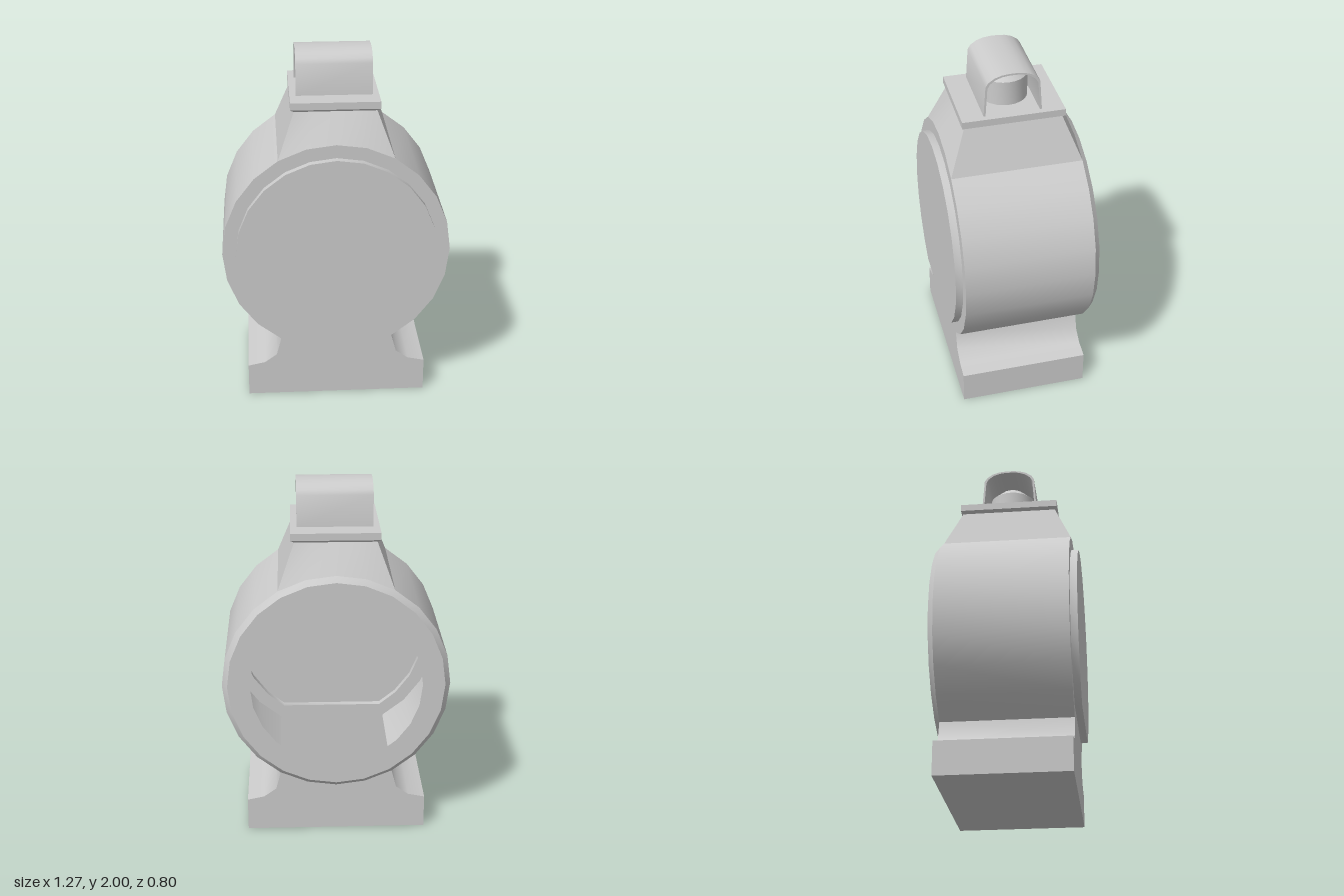
import * as THREE from 'three';
import { toCreasedNormals } from 'three/addons/utils/BufferGeometryUtils.js';

const CY = 0.915, R = 0.635, FRONT = 0.36, BACK = -0.37, MID = -0.005;
const material = new THREE.MeshStandardMaterial({ color: 0xcccccc, side: THREE.DoubleSide });

// Points on a circle around the drum axis, in 15 degree steps
function arc(radius, from, to) {
  const n = Math.round(Math.abs(to - from) / 15);
  return Array.from({ length: n + 1 }, (_, i) => {
    const a = THREE.MathUtils.degToRad(from + ((to - from) * i) / n);
    return [radius * Math.cos(a), CY + radius * Math.sin(a)];
  });
}

const atZ = (points, z) => points.map(([x, y]) => [x, y, z]);
const mirror = (points) => points.map(([x, y]) => [-x, y]).reverse();
const shapeOf = (points) => new THREE.Shape(points.map(([x, y]) => new THREE.Vector2(x, y)));

// Surface between two rows of matching points
function loft(a, b, closed = false) {
  const pos = [];
  const n = a.length;
  for (let i = 0; i < (closed ? n : n - 1); i++) {
    const j = (i + 1) % n;
    pos.push(...a[i], ...a[j], ...b[j], ...a[i], ...b[j], ...b[i]);
  }
  const geo = new THREE.BufferGeometry();
  geo.setAttribute('position', new THREE.Float32BufferAttribute(pos, 3));
  return toCreasedNormals(geo, 0.72);
}

export function createModel() {
  const model = new THREE.Group();
  const add = (name, geometry) => {
    const mesh = new THREE.Mesh(geometry, material);
    mesh.name = name;
    model.add(mesh);
    return mesh;
  };

  // Outline: drum side, flared neck and foot, mirrored back up to the drum top
  const foot = [[0.345, 0.26], [0.415, 0.21], [0.51, 0.19], [0.51, 0]];
  const rightSide = [...arc(R, 60, -60), ...foot];
  const outline = [...rightSide, ...mirror(rightSide)];
  add('bodyWall', loft(atZ(outline, FRONT), atZ(outline, BACK)));

  // Front cover, round below with a flat edge
  const cover = [[0.297, 0.44], ...arc(0.56, -45, 225), [-0.297, 0.44]];
  const frontShape = shapeOf([...outline, ...arc(R, 105, 75)]);
  frontShape.holes.push(shapeOf(cover));
  add('frontPlate', new THREE.ShapeGeometry(frontShape).translate(0, 0, FRONT));
  add('coverRim', loft(atZ(cover, FRONT), atZ(cover, 0.4), true));
  add('coverFace', new THREE.ShapeGeometry(shapeOf(cover)).translate(0, 0, 0.4));

  // Back of the foot, below the drum
  const footBack = shapeOf([...arc(R, 240, 300), ...foot, ...mirror(foot)]);
  add('footBack', new THREE.ShapeGeometry(footBack).rotateY(Math.PI).translate(0, 0, BACK));

  // Chamfered rim around the open back
  const ring = (r, z) => atZ(arc(r, 360, 15), z);
  add('backRimChamfer', loft(ring(R, BACK), ring(0.605, -0.4), true));
  add('backRimFace', loft(ring(0.605, -0.4), ring(0.48, -0.4), true));

  // Tapered neck from the drum top to the plate
  const topArc = arc(R, 120, 60);
  const narrow = topArc.map(([x]) => [x * 0.225 / 0.3175, 1.71]);
  add('topNeck', loft(
    [...atZ(topArc, FRONT), ...atZ(topArc, BACK).reverse()],
    [...atZ(narrow, 0.265), ...atZ(narrow, -0.275).reverse()], true));

  // Top plate with a bevelled underside
  const rect = (x, z, y) => [[-x, y, MID + z], [x, y, MID + z], [x, y, MID - z], [-x, y, MID - z]];
  add('plateBevel', loft(rect(0.225, 0.27, 1.708), rect(0.245, 0.283, 1.722), true));
  add('topPlate', new THREE.BoxGeometry(0.49, 0.04, 0.566)).position.set(0, 1.741, MID);

  // Round button with a chamfered top
  const profile = [[0.13, 1.76], [0.13, 1.9], [0.07, 1.955], [0, 1.955]];
  const button = new THREE.LatheGeometry(profile.map(([x, y]) => new THREE.Vector2(x, y)), 24);
  add('button', toCreasedNormals(button, 0.6)).position.z = MID;

  // Thin arched guard over the button
  const half = [[0.16, 1.76], [0.148, 1.935], [0.133, 1.96], [0.1, 1.983], [0.06, 1.996], [0.02, 2]];
  const outer = [...half, ...mirror(half)];
  const inner = outer.map(([z, y]) => [z * 0.93, y > 1.8 ? y - 0.01 : y]);
  const guard = new THREE.ExtrudeGeometry(shapeOf([...outer, ...inner.reverse()]),
    { depth: 0.42, bevelEnabled: false });
  guard.translate(0, 0, -0.21).rotateY(Math.PI / 2);
  add('guard', toCreasedNormals(guard, 0.8)).position.z = MID;

  return model;
}
